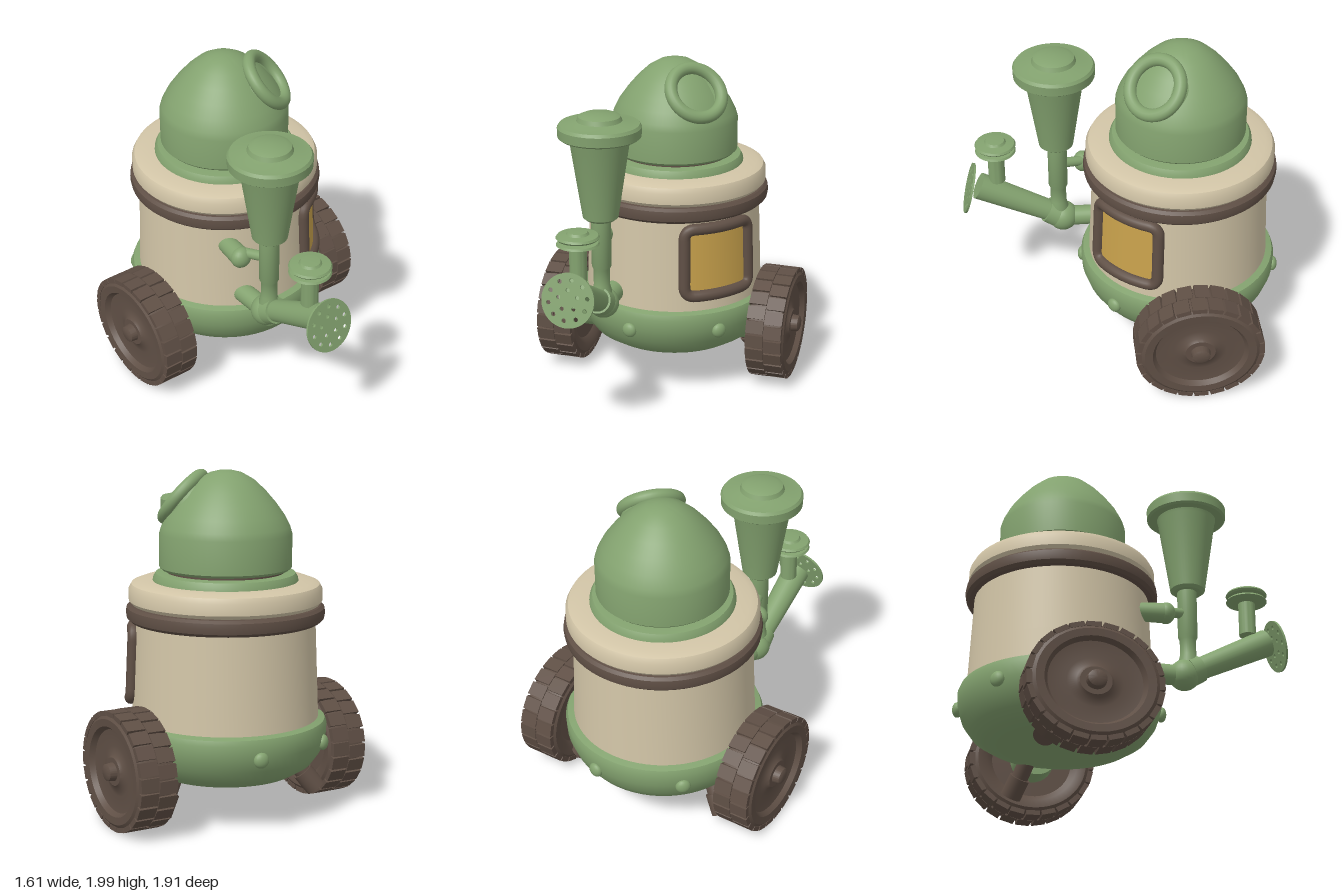
import * as THREE from 'three';
import { toCreasedNormals } from 'three/addons/utils/BufferGeometryUtils.js';

const mat = (name, color, side = THREE.FrontSide) => {
  const m = new THREE.MeshStandardMaterial({ color, side });
  m.name = name;
  return m;
};
const V = (x, y, z) => new THREE.Vector3(x, y, z);
const CZ = -0.345; // body axis
const rad = THREE.MathUtils.degToRad;

export function createModel() {
  const model = new THREE.Group();
  const green = mat('leafGreen', 0x83a26f);
  const cream = mat('cream', 0xd2c5a7);
  const brown = mat('darkBrown', 0x5f4f45);
  const gold = mat('goldGlass', 0xc9a24c, THREE.DoubleSide);

  const add = (name, geo, material, pos = [0, 0, 0], parent = model) => {
    const m = new THREE.Mesh(geo, material);
    m.name = name;
    m.position.set(...pos);
    parent.add(m);
    return m;
  };
  // Profile is [radius, height] from bottom to top
  const lathe = (pts, seg = 64) => toCreasedNormals(
    new THREE.LatheGeometry(pts.map(p => new THREE.Vector2(p[0], p[1])), seg), 0.6);
  // Straight round bar between two points
  const bar = (name, a, b, ra, rb, material) => {
    const d = b.clone().sub(a);
    const m = add(name, new THREE.CylinderGeometry(rb, ra, d.length(), 28), material);
    m.position.copy(a).addScaledVector(d, 0.5);
    m.quaternion.setFromUnitVectors(V(0, 1, 0), d.normalize());
    return m;
  };

  // Body stack
  add('base', lathe([[0, 0.24], [0.34, 0.243], [0.43, 0.26], [0.51, 0.31], [0.56, 0.38], [0.588, 0.46],
    [0.592, 0.54], [0.58, 0.57], [0.53, 0.585]]), green, [0, 0, CZ]);
  add('tank', lathe([[0.543, 0.56], [0.535, 0.75], [0.518, 1.16]]), cream, [0, 0, CZ]);
  add('darkBand', lathe([[0.5, 1.14], [0.55, 1.143], [0.568, 1.16], [0.573, 1.19], [0.568, 1.22],
    [0.55, 1.235], [0.5, 1.238]]), brown, [0, 0, CZ]);
  add('shoulder', lathe([[0.5, 1.23], [0.54, 1.24], [0.556, 1.26], [0.556, 1.325], [0.54, 1.355], [0.5, 1.37],
    [0.38, 1.372], [0, 1.372]]), cream, [0, 0, CZ]);
  add('collar', lathe([[0.42, 1.36], [0.415, 1.39], [0.40, 1.415], [0.36, 1.42], [0, 1.42]]), green, [0, 0, CZ]);
  add('neck', new THREE.CylinderGeometry(0.34, 0.34, 0.05, 48), brown, [0, 1.43, CZ]);
  add('dome', lathe([[0, 1.435], [0.365, 1.435], [0.38, 1.45], [0.38, 1.64], [0.368, 1.68], [0.335, 1.745],
    [0.285, 1.815], [0.225, 1.885], [0.16, 1.945], [0.09, 1.985], [0.04, 1.997], [0, 2.0]]), green, [0, 0, CZ]);

  // Tilted porthole on the dome
  const port = new THREE.Group();
  port.name = 'porthole';
  port.position.set(0.175, 1.83, -0.18);
  port.quaternion.setFromUnitVectors(V(0, 0, 1), V(0.54, 0.64, 0.54).normalize());
  add('portholeRing', new THREE.TorusGeometry(0.16, 0.038, 16, 48), green, [0, 0, 0.015], port);
  add('portholeCollar', new THREE.CylinderGeometry(0.165, 0.215, 0.1, 40).rotateX(Math.PI / 2), green, [0, 0, -0.045], port);
  model.add(port);

  // Rivets around the base
  for (const a of [-10, 44, 107, 170, 223, 286]) {
    const r = add('rivet', new THREE.SphereGeometry(0.045, 18, 12), green,
      [0.59 * Math.sin(rad(a)), 0.455, CZ + 0.59 * Math.cos(rad(a))]);
    r.rotation.y = rad(a);
    r.scale.z = 0.65;
  }

  // Window wrapped round the tank
  const midA = rad(47), w = 0.222, h = 0.208, c = 0.065, midY = 0.888;
  const tankR = y => 0.543 - 0.042 * (y - 0.56);
  add('windowPane', new THREE.CylinderGeometry(tankR(midY + h) + 0.008, tankR(midY - h) + 0.008, 2 * h, 24, 1, true,
    midA - w / 0.535, 2 * w / 0.535), gold, [0, midY, CZ]);
  const rr = new THREE.Shape();
  rr.moveTo(-w + c, -h).lineTo(w - c, -h).quadraticCurveTo(w, -h, w, -h + c).lineTo(w, h - c)
    .quadraticCurveTo(w, h, w - c, h).lineTo(-w + c, h).quadraticCurveTo(-w, h, -w, h - c)
    .lineTo(-w, -h + c).quadraticCurveTo(-w, -h, -w + c, -h);
  const framePts = rr.getSpacedPoints(72).slice(0, -1).map(p => {
    const a = midA + p.x / 0.535, y = midY + p.y, R = tankR(y) + 0.012;
    return V(R * Math.sin(a), y, CZ + R * Math.cos(a));
  });
  add('windowFrame', new THREE.TubeGeometry(new THREE.CatmullRomCurve3(framePts, true), 144, 0.035, 14, true), brown);

  // Wheels with staggered tread blocks, axles and struts
  const wheelProfile = [[0, -0.085], [0.23, -0.085], [0.265, -0.112], [0.315, -0.118], [0.342, -0.1], [0.35, -0.06],
    [0.35, 0.06], [0.342, 0.1], [0.315, 0.118], [0.27, 0.115], [0.25, 0.085], [0.15, 0.075], [0.1, 0.085],
    [0.085, 0.1], [0.055, 0.1], [0.05, 0.14], [0.035, 0.148], [0, 0.148]];
  for (const s of [1, -1]) {
    const wheel = new THREE.Group();
    wheel.name = s > 0 ? 'leftWheel' : 'rightWheel';
    const tyre = add('tyre', lathe(wheelProfile, 56), brown, [0, 0, 0], wheel);
    tyre.rotation.z = -s * Math.PI / 2;
    const n = 24;
    for (let i = 0; i < n; i++) for (const row of [-1, 1]) {
      const a = (i + row * 0.15) / n * Math.PI * 2;
      const b = add('treadBlock', new THREE.BoxGeometry(0.108, 0.03, 0.08), brown,
        [row * 0.056, 0.346 * Math.cos(a), 0.346 * Math.sin(a)], wheel);
      b.rotation.x = a;
    }
    wheel.scale.set(1, 0.945, 1.05);
    wheel.position.set(s * 0.655, 0.348, s > 0 ? -0.4 : -0.3);
    model.add(wheel);
    const wz = wheel.position.z;
    bar('axle', V(s * 0.42, 0.348, wz), V(s * 0.58, 0.348, wz), 0.13, 0.13, green);
    bar('strut', V(s * 0.38, 0.31, -0.45), V(s * 0.47, 0.17, -0.5), 0.05, 0.05, brown);
    bar('strutFoot', V(s * 0.45, 0.2, -0.49), V(s * 0.52, 0.1, -0.53), 0.062, 0.062, brown);
  }

  // Funnel and its down pipe
  const PX = -0.225, FZ = 0.375;
  add('funnel', lathe([[0, 1.2], [0.085, 1.2], [0.103, 1.215], [0.172, 1.67], [0.178, 1.69], [0.225, 1.69],
    [0.238, 1.7], [0.24, 1.755], [0.228, 1.772], [0.19, 1.776], [0.13, 1.79], [0.12, 1.815], [0.09, 1.828],
    [0, 1.83]], 48), green, [PX, 0, FZ]);
  add('downPipe', lathe([[0.06, 0.62], [0.06, 0.75], [0.048, 0.79], [0.048, 0.89], [0.058, 0.91], [0.058, 1.21]], 28),
    green, [PX, 0, FZ - 0.005]);

  // Elbow joined to the tank
  add('elbow', new THREE.SphereGeometry(0.092, 28, 18), green, [PX, 0.665, 0.345]);
  bar('elbowPipe', V(PX, 0.66, 0.1), V(PX, 0.66, 0.34), 0.06, 0.06, green);
  bar('knobStem', V(-0.29, 1.01, 0.04), V(-0.31, 1.01, 0.21), 0.055, 0.06, green);
  const knob = add('knob', new THREE.SphereGeometry(0.064, 20, 14), green, [-0.31, 1.01, 0.215]);
  knob.scale.z = 0.85;
  bar('pipeBracket', V(-0.29, 1.03, 0.2), V(PX, 1.06, FZ), 0.03, 0.03, green);

  // Spout
  const spoutA = V(PX, 0.665, 0.34), spoutB = V(PX, 0.925, 0.855);
  bar('spout', spoutA, spoutB, 0.062, 0.082, green);
  bar('spoutCuff', spoutA.clone().lerp(spoutB, 0.08), spoutA.clone().lerp(spoutB, 0.2), 0.085, 0.078, green);

  // Perforated sprinkler plate
  const plate = new THREE.Shape().absarc(0, 0, 0.155, 0, Math.PI * 2);
  for (const [count, r, size] of [[10, 0.115, 0.013], [5, 0.058, 0.012]])
    for (let i = 0; i < count; i++) {
      const a = (i + 0.3) / count * Math.PI * 2;
      plate.holes.push(new THREE.Path().absarc(r * Math.cos(a), r * Math.sin(a), size, 0, Math.PI * 2, true));
    }
  const rose = add('sprinklerPlate', new THREE.ExtrudeGeometry(plate, { depth: 0.012, bevelEnabled: false, curveSegments: 24 }),
    green, [PX - 0.005, 0.905, 0.905]);
  rose.rotation.x = -0.27;

  // Small valve above the spout
  add('valve', lathe([[0, 0.96], [0.05, 0.96], [0.05, 1.165], [0.1, 1.17], [0.122, 1.178], [0.115, 1.19], [0.06, 1.195],
    [0.06, 1.208], [0.115, 1.21], [0.123, 1.22], [0.115, 1.232], [0.065, 1.238], [0.055, 1.252], [0, 1.256]], 36),
    green, [PX - 0.005, 0, 0.74]);

  return model;
}
